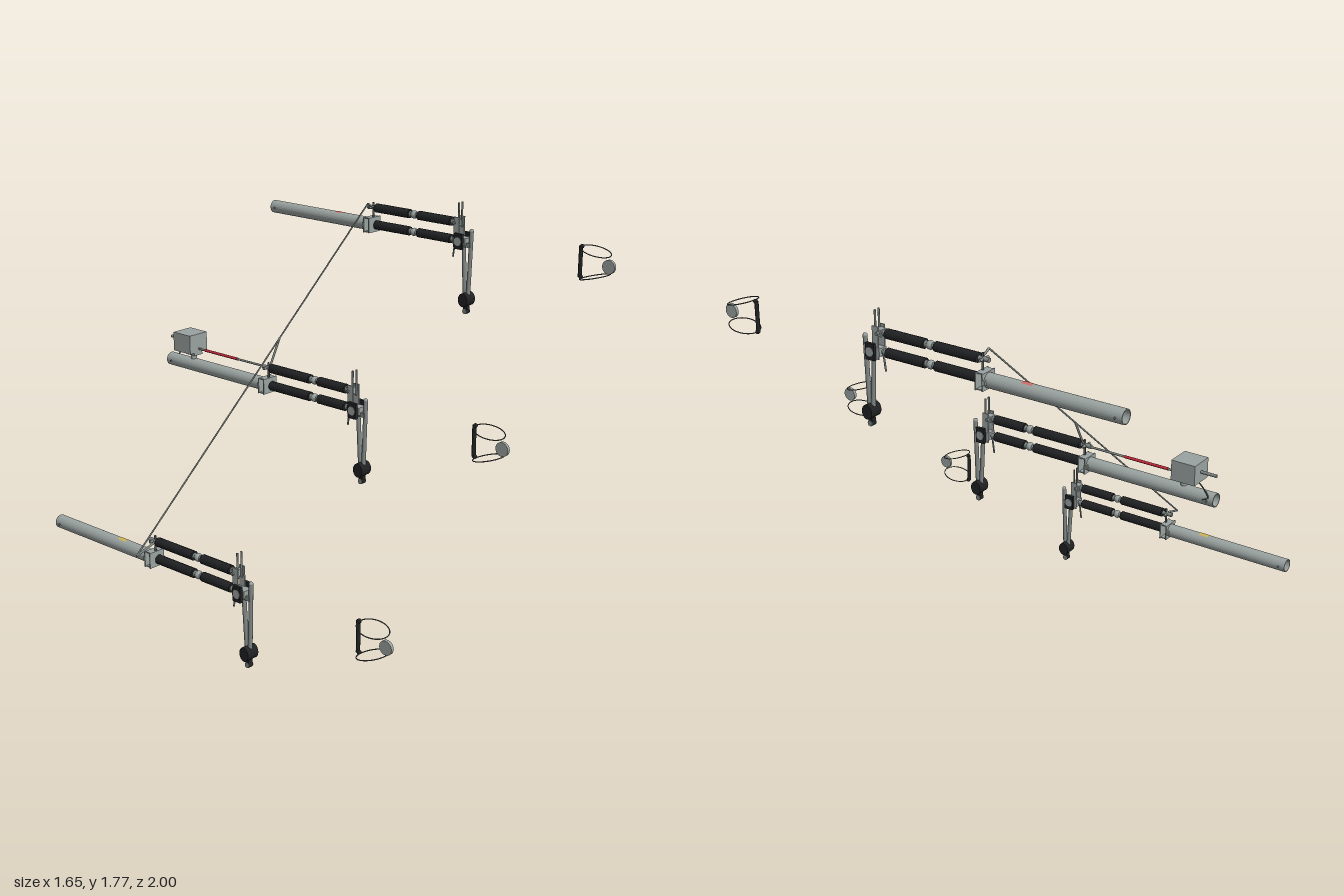
import * as THREE from 'three';

const mat = (name, color, side = THREE.FrontSide) => {
  const m = new THREE.MeshStandardMaterial({ color, side });
  m.name = name;
  return m;
};

export function createModel() {
  const steel = mat('poleGrey', 0x9aa3a1);
  const metal = mat('hardwareGrey', 0x7f8785);
  const rubber = mat('rubberBlack', 0x202123);
  const wire = mat('wireGrey', 0x505452);
  const red = mat('markRed', 0xc42a3c);
  const yellow = mat('markYellow', 0xcfb455, THREE.DoubleSide);
  const salmon = mat('markSalmon', 0xcc6c64, THREE.DoubleSide);

  const add = (parent, name, geo, material, x = 0, y = 0, z = 0) => {
    const m = new THREE.Mesh(geo, material);
    m.name = name;
    m.position.set(x, y, z);
    parent.add(m);
    return m;
  };
  const box = (p, name, material, w, h, d, x, y, z) =>
    add(p, name, new THREE.BoxGeometry(w, h, d), material, x, y, z);
  const ball = (p, name, material, r, x, y, z) =>
    add(p, name, new THREE.SphereGeometry(r, 16, 10), material, x, y, z);
  // Round bar between two points
  const rod = (p, name, material, r, a, b, sides = 14) => {
    const A = new THREE.Vector3(...a), B = new THREE.Vector3(...b);
    const d = B.clone().sub(A);
    const m = add(p, name, new THREE.CylinderGeometry(r, r, d.length(), sides), material);
    m.position.copy(A).add(B).multiplyScalar(0.5);
    m.quaternion.setFromUnitVectors(new THREE.Vector3(0, 1, 0), d.normalize());
    return m;
  };
  // Finely ribbed insulator body along z
  const insulator = (p, name, z0, z1, y) => {
    const len = z1 - z0, n = Math.round(len / 0.008), st = len / n, pts = [new THREE.Vector2(0, 0)];
    for (let i = 0; i < n; i++) {
      pts.push(new THREE.Vector2(0.0195, i * st), new THREE.Vector2(0.0215, (i + 0.3) * st),
        new THREE.Vector2(0.0215, (i + 0.75) * st));
    }
    pts.push(new THREE.Vector2(0.0195, len), new THREE.Vector2(0, len));
    const geo = new THREE.LatheGeometry(pts, 18);
    geo.rotateX(Math.PI / 2);
    add(p, name, geo, rubber, 0, y, z0);
  };

  // One arm: pole, flange, twin insulators, terminal, drop leg
  const makeArm = (joint) => {
    const g = new THREE.Group();
    const up = 0.082;

    // Hollow pole
    const tube = [[0.027, 0], [0.031, 0], [0.031, 0.62], [0.027, 0.62], [0.027, 0]]
      .map(([r, h]) => new THREE.Vector2(r, h));
    const poleGeo = new THREE.LatheGeometry(tube, 28).toNonIndexed();
    poleGeo.computeVertexNormals();
    poleGeo.rotateX(Math.PI / 2);
    add(g, 'pole', poleGeo, steel, 0, 0, -1);
    for (const s of [-1, 1]) {
      rod(g, 'polePin', metal, 0.004, [s * 0.029, 0, -0.97], [s * 0.037, 0, -0.97], 8);
    }

    // Open-sided flange box
    for (const s of [-1, 1]) {
      box(g, 'flangePlate', steel, 0.084, 0.072, 0.005, 0, 0, -0.362 + s * 0.016);
      box(g, 'flangeShelf', steel, 0.07, 0.005, 0.03, 0, s * 0.0335, -0.362);
      box(g, 'flangeGusset', steel, 0.012, 0.02, 0.01, s * 0.034, 0, -0.385);
    }
    rod(g, 'pivotPin', metal, 0.006, [-0.028, up, -0.358], [0.028, up, -0.358]);
    rod(g, 'pivotLever', wire, 0.005, [0, 0.036, -0.352], [0, up + 0.025, -0.352]);

    // Twin insulator rods with a ball joint each
    for (const y of [0, up]) {
      rod(g, 'insulatorCore', metal, 0.01, [0, y, y ? -0.385 : -0.348], [0, y, 0.16]);
      insulator(g, 'rearInsulator', -0.335, joint - 0.025, y);
      insulator(g, 'frontInsulator', joint + 0.025, 0.12, y);
      ball(g, 'insulatorJoint', steel, 0.019, 0, y, joint);
      for (const z of [joint - 0.019, joint + 0.019, 0.128]) {
        rod(g, 'insulatorCap', metal, 0.014, [0, y, z - 0.006], [0, y, z + 0.006]);
      }
    }

    // Terminal bracket with black side pads and prongs
    box(g, 'terminalBlock', steel, 0.045, 0.034, 0.07, 0, 0, 0.178);
    box(g, 'terminalBlockTop', steel, 0.034, 0.03, 0.03, 0, up, 0.15);
    for (const s of [-1, 1]) {
      box(g, 'bracketCheek', steel, 0.006, 0.14, 0.03, s * 0.02, 0.04, 0.162);
      box(g, 'sidePad', rubber, 0.014, 0.072, 0.045, s * 0.03, 0.002, 0.182);
      rod(g, 'padCap', steel, 0.02, [s * 0.036, 0.002, 0.182], [s * 0.039, 0.002, 0.182], 18);
      rod(g, 'prong', metal, 0.0045, [s * 0.012, 0.06, 0.167], [s * 0.012, 0.176, 0.167], 10);
    }
    rod(g, 'bracketBolt', metal, 0.007, [-0.03, up, 0.15], [0.03, up, 0.15]);
    rod(g, 'lowerHook', metal, 0.004, [0, -0.01, 0.14], [0, -0.082, 0.13], 8);

    // Drop leg with weighted foot
    rod(g, 'frontLeg', metal, 0.01, [0, 0.05, 0.233], [0, -0.275, 0.222]);
    rod(g, 'rearLeg', metal, 0.01, [0, -0.01, 0.19], [0, -0.275, 0.205]);
    ball(g, 'legTip', steel, 0.01, 0, 0.052, 0.233);
    box(g, 'legClamp', metal, 0.026, 0.02, 0.05, 0, -0.015, 0.208);
    const foot = rod(g, 'foot', rubber, 0.026, [-0.031, -0.27, 0.214], [0.031, -0.27, 0.214], 18);
    foot.scale.x = 1.25;
    box(g, 'footNeck', rubber, 0.024, 0.03, 0.02, 0, -0.306, 0.214);
    rod(g, 'footRoller', rubber, 0.013, [-0.012, -0.326, 0.214], [0.012, -0.326, 0.214]);
    for (const s of [-1, 1]) {
      rod(g, 'rollerCap', metal, 0.012, [s * 0.012, -0.326, 0.214], [s * 0.014, -0.326, 0.214]);
    }
    return g;
  };

  // Separate ring guard standing in front of an arm
  const makeGuard = () => {
    const g = new THREE.Group();
    for (const s of [-1, 1]) {
      const ring = add(g, 'guardRing', new THREE.TorusGeometry(0.067, 0.0024, 8, 40),
        wire, 0, 0.005 + s * 0.056, 0.9);
      ring.rotation.x = Math.PI / 2 + s * 0.24;
      ball(g, 'postEnd', rubber, 0.01, 0, 0.005 + s * 0.068, 0.828);
    }
    rod(g, 'guardPost', rubber, 0.009, [0, -0.063, 0.823], [0, 0.074, 0.823]);
    rod(g, 'guardDisc', steel, 0.031, [-0.007, 0.003, 0.969], [0.007, 0.003, 0.969], 28);
    return g;
  };

  // Thin curved band on top of a pole
  const band = (p, material) => {
    const geo = new THREE.CylinderGeometry(0.032, 0.032, 0.048, 8, 1, true, -0.42, 0.84);
    geo.rotateX(-Math.PI / 2);
    // The seam of the cylinder must face up
    geo.computeBoundingBox();
    if (geo.boundingBox.max.y < 0.02) geo.rotateZ(Math.PI);
    add(p, 'colourMark', geo, material, 0, 0, -0.564);
  };

  const root = new THREE.Group();
  root.name = 'switchAssembly';
  const phases = [[-0.703, 0.34, -0.08], [0.025, 0.968, -0.066], [0.756, 1.6, -0.101]];
  const arms = phases.map(([x, y, joint], i) => {
    const arm = makeArm(joint);
    arm.name = ['lowerArm', 'middleArm', 'upperArm'][i];
    const guard = makeGuard();
    guard.name = 'ringGuard';
    arm.add(guard);
    arm.position.set(x, y, 0);
    root.add(arm);
    return arm;
  });
  band(arms[0], yellow);
  band(arms[2], salmon);

  // Drive box and shaft on the middle arm
  const mid = arms[1];
  box(mid, 'driveBox', steel, 0.11, 0.09, 0.112, 0.002, 0.11, -0.869);
  box(mid, 'driveSaddle', steel, 0.05, 0.014, 0.06, 0.002, 0.058, -0.845);
  rod(mid, 'driveBracket', steel, 0.014, [0, 0.025, -0.845], [0, 0.06, -0.845]);
  rod(mid, 'driveStub', metal, 0.007, [0.003, 0.11, -0.92], [0.003, 0.11, -0.998]);
  rod(mid, 'driveShaft', metal, 0.005, [0.004, 0.082, -0.37], [0.004, 0.082, -0.82]);
  rod(mid, 'shaftMark', red, 0.0065, [0.004, 0.082, -0.555], [0.004, 0.082, -0.77]);
  const curve = new THREE.CatmullRomCurve3([[0.01, 0.065, -0.92], [0.02, 0.04, -0.955],
    [0.028, 0.015, -0.975], [0.031, 0, -0.95]].map(v => new THREE.Vector3(...v)));
  add(mid, 'driveCable', new THREE.TubeGeometry(curve, 14, 0.003, 6), wire);

  // Diagonal linkage with a crank to each arm
  const z = -0.346;
  rod(root, 'linkRod', metal, 0.0036, [-0.82, 0.389, z], [0.706, 1.707, z], 10);
  rod(root, 'linkCrank', metal, 0.005, [-0.82, 0.389, z], [-0.703, 0.422, z], 10);
  rod(root, 'linkCrank', metal, 0.005, [0.094, 1.179, z], [0.025, 1.05, z], 10);
  rod(root, 'linkCrank', metal, 0.005, [0.706, 1.707, z], [0.756, 1.682, z], 10);

  return root;
}
